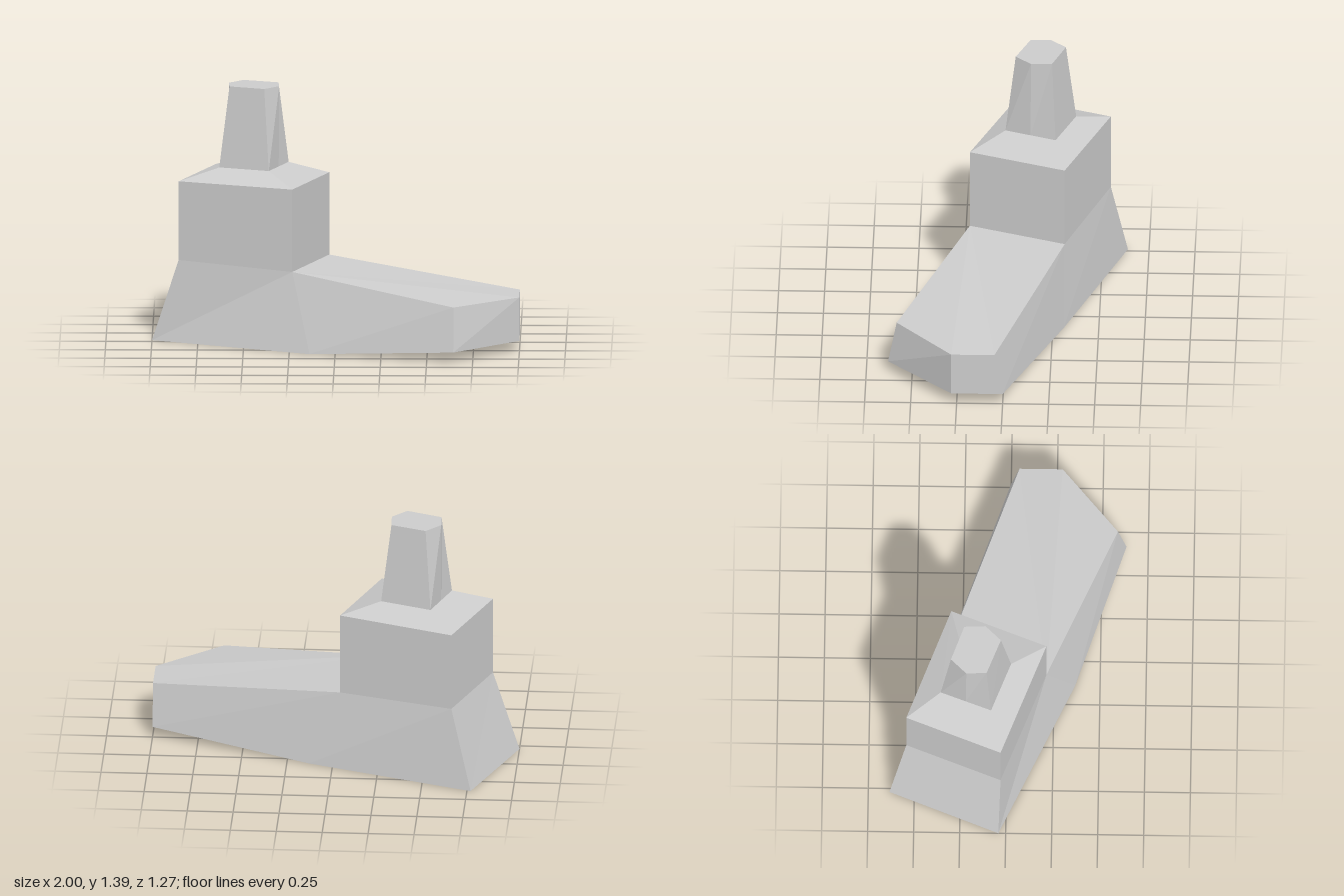
import * as THREE from 'three';

// Walls between stacked rings of [x, y, z] points (anticlockwise seen from above)
function walls(rings) {
  const tris = [];
  for (let r = 0; r + 1 < rings.length; r++) {
    const lo = rings[r], up = rings[r + 1], n = lo.length;
    for (let i = 0; i < n; i++) {
      const j = (i + 1) % n;
      tris.push(lo[i], lo[j], up[j], lo[i], up[j], up[i]);
    }
  }
  return tris;
}

// Fan of triangles from the first point
function cap(points) {
  const tris = [];
  for (let i = 1; i + 1 < points.length; i++) tris.push(points[0], points[i], points[i + 1]);
  return tris;
}

function part(name, tris) {
  const geometry = new THREE.BufferGeometry();
  geometry.setAttribute('position', new THREE.Float32BufferAttribute(tris.flat(), 3));
  geometry.computeVertexNormals();
  const mesh = new THREE.Mesh(geometry, new THREE.MeshStandardMaterial({ color: 0xcccccc, flatShading: true }));
  mesh.name = name;
  return mesh;
}

const level = (y, points) => points.map(([x, z]) => [x, y, z]);

export function createModel() {
  const group = new THREE.Group();
  group.name = 'lowPolyFoot';

  // Ankle outline where it meets the foot
  const ankle = [[-0.855, 0.445, -0.03], [-0.235, 0.425, 0.21], [-0.04, 0.425, -0.31], [-0.66, 0.445, -0.545]];

  // Sole: flat under the heel, rising from the ball to the toe
  const sole = [
    [-1, 0, -0.04], [-0.14, 0, 0.365],
    [0.645, 0.06, 0.632], [1, 0.06, 0.28], [1, 0.06, 0],
    [0.13, 0, -0.31], [-0.77, 0, -0.635],
  ];
  const toeTop = level(0.3, [[0.645, 0.585], [1, 0.28], [1, 0.045]]);
  const upper = [ankle[0], ankle[1], ...toeTop, ankle[2], ankle[3]];
  const soleFan = [...sole.slice(1), sole[0]];
  group.add(part('foot', [
    ...walls([sole, upper]),
    ...cap([ankle[1], ...toeTop, ankle[2]]),
    ...cap(soleFan).reverse(),
  ]));

  // Ankle block with sloping shoulders
  const blockTop = ankle.map(([x, , z]) => [x, 0.88, z]);
  const legBase = level(0.947, [[-0.635, -0.085], [-0.365, 0.02], [-0.26, -0.255], [-0.535, -0.36]]);
  group.add(part('ankle', walls([ankle, blockTop, legBase])));

  // Tapered leg, with an upright ridge in the middle of its front and back
  const mid = (a, b) => a.map((v, i) => (v + b[i]) / 2);
  const legBottom = [
    legBase[0], legBase[1], mid(legBase[1], legBase[2]),
    legBase[2], legBase[3], mid(legBase[3], legBase[0]),
  ];
  const legTop = level(1.39, [
    [-0.58, -0.11], [-0.39, -0.035], [-0.31, -0.12],
    [-0.315, -0.235], [-0.505, -0.305], [-0.585, -0.22],
  ]);
  group.add(part('leg', [...walls([legBottom, legTop]), ...cap(legTop)]));

  return group;
}
